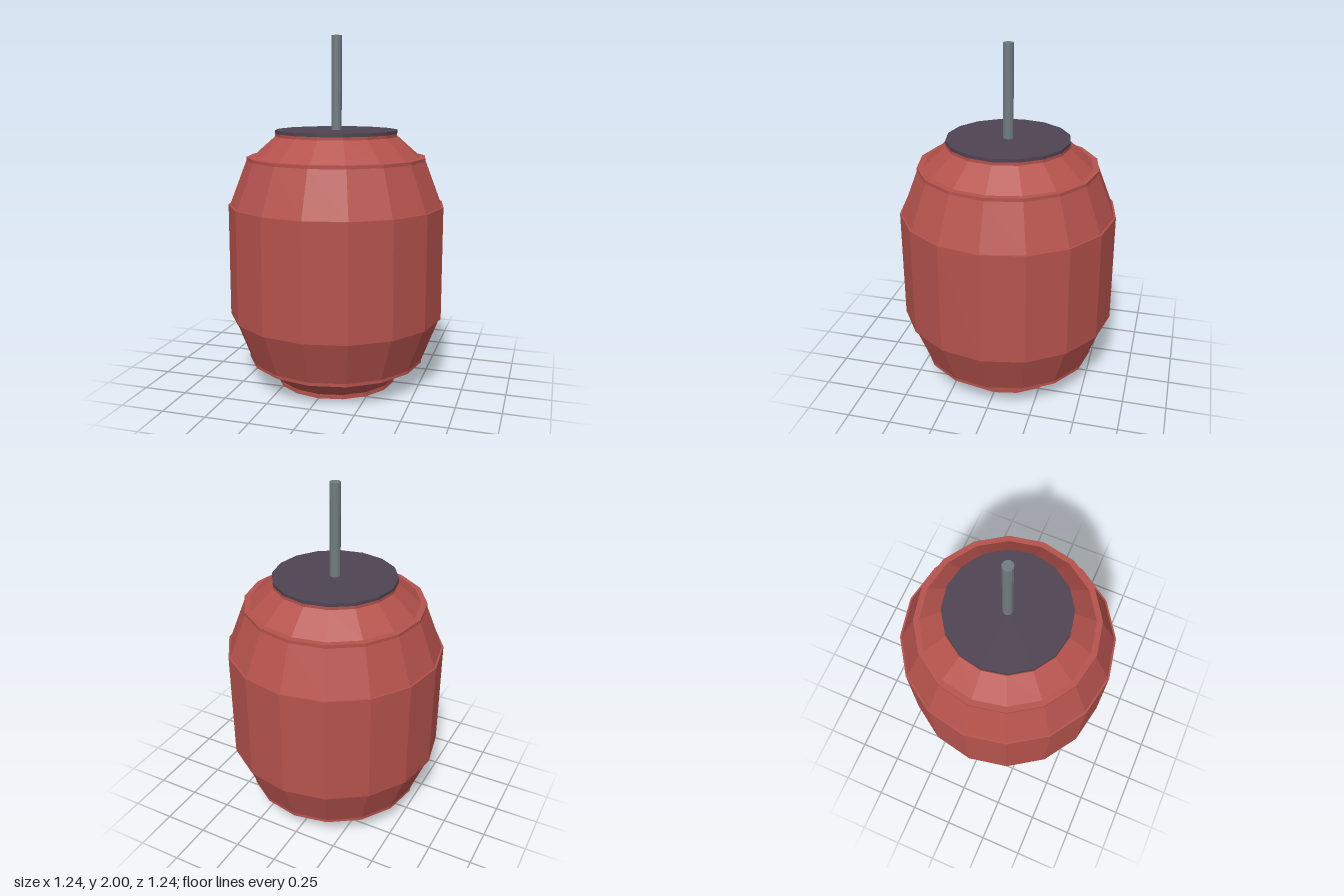
import * as THREE from 'three';

const SIDES = 16;
const MID = 0.7325; // height of the body's mirror plane

export function createModel() {
  const flat = (name, color) => {
    const m = new THREE.MeshStandardMaterial({ color, flatShading: true });
    m.name = name;
    return m;
  };
  const red = flat('red paper', 0xb5524c);
  const dark = flat('dark cap', 0x4e4352);
  const steel = flat('grey metal', 0x707c82);

  const group = new THREE.Group();
  const add = (name, geometry, material, y = 0) => {
    const mesh = new THREE.Mesh(geometry, material);
    mesh.name = name;
    mesh.position.y = y;
    group.add(mesh);
  };

  // Lower half of the barrel: foot, cone, stepped lip, cone, stepped middle drum
  const half = [
    [0, 0], [0.35, 0], [0.35, 0.025], [0.48, 0.14], [0.513, 0.14],
    [0.513, 0.158], [0.61, 0.41], [0.62, 0.41],
  ];
  // Mirrored upward, the neck stopping just under the cap
  const upper = half.slice(2).reverse().map(([r, y]) => [r, 2 * MID - y]);
  const profile = [...half, ...upper, [0.35, 1.457]].map(([r, y]) => new THREE.Vector2(r, y));
  add('lanternBody', new THREE.LatheGeometry(profile, SIDES), red);

  // Dark lid flush with the neck
  add('topCap', new THREE.CylinderGeometry(0.35, 0.35, 0.018, SIDES), dark, 1.466);

  // Hanging rod
  add('hangingRod', new THREE.CylinderGeometry(0.03, 0.03, 0.53, 12), steel, 1.735);

  return group;
}
